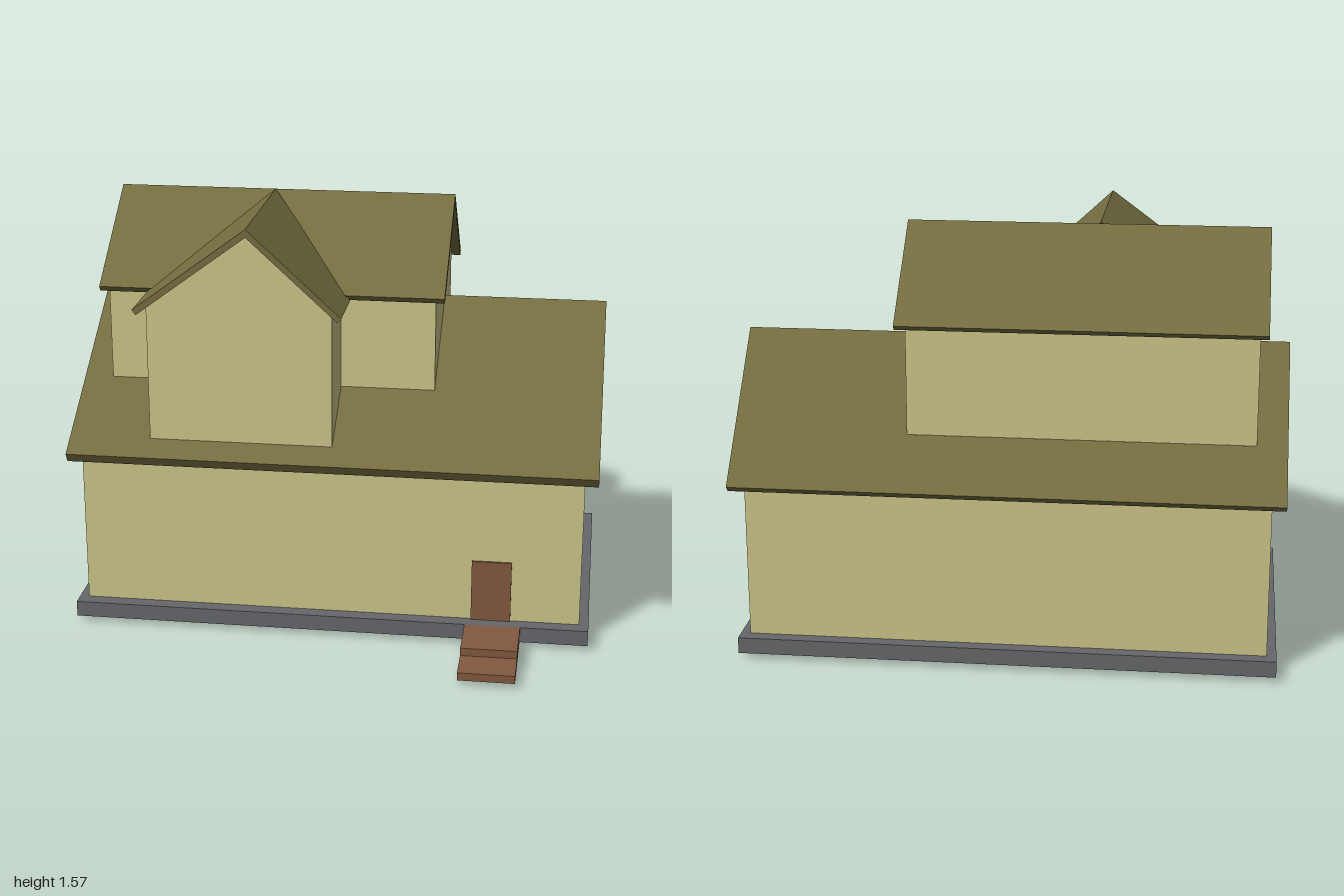
import * as THREE from 'three';

const material = (color) =>
  new THREE.MeshStandardMaterial({ color, flatShading: true, side: THREE.DoubleSide });
const wallMat = material(0xccc589);
const roofMat = material(0x746d40);
const brownMat = material(0x82593f);
const baseMat = material(0x66676a);

function part(parent, name, geometry, mat) {
  const mesh = new THREE.Mesh(geometry, mat);
  mesh.name = name;
  parent.add(mesh);
  return mesh;
}

const shapeOf = (pts) => new THREE.Shape(pts.map(([a, b]) => new THREE.Vector2(a, b)));

// Thin wall panels: [x, y] outline at a given z, or [z, y] outline at a given x
function wallAtZ(parent, name, z, pts) {
  part(parent, name, new THREE.ShapeGeometry(shapeOf(pts)).translate(0, 0, z), wallMat);
}
function wallAtX(parent, name, x, pts) {
  const geometry = new THREE.ShapeGeometry(shapeOf(pts)).rotateY(-Math.PI / 2);
  part(parent, name, geometry.translate(x, 0, 0), wallMat);
}
const rect = (a0, a1, y0, y1) => [[a0, y0], [a1, y0], [a1, y1], [a0, y1]];

// Roof slope: plan outline of [distance from ridge, position along ridge],
// tilted down from the ridge, with square-cut eaves
function roofSlope(parent, name, { along, ridge, ridgeY, dir, slope, drop }, plan) {
  const geometry = new THREE.ExtrudeGeometry(shapeOf(plan), { depth: 1, bevelEnabled: false });
  const pos = geometry.attributes.position;
  const angle = Math.atan(slope);
  const order = (along === 'x') === (dir > 0) ? [0, 1, 2] : [0, 2, 1];
  const out = [];
  for (let i = 0; i < pos.count; i += 3) {
    for (const k of order) {
      let s = pos.getX(i + k);
      const a = pos.getY(i + k);
      let y = ridgeY - slope * s;
      if (pos.getZ(i + k) < 0.5) {
        const atRidge = s < 1e-4;
        y -= atRidge ? drop : drop * Math.cos(angle) ** 2;
        s -= atRidge ? 0 : drop * Math.cos(angle) * Math.sin(angle);
      }
      const across = ridge + dir * s;
      out.push(...(along === 'x' ? [a, y, across] : [across, y, a]));
    }
  }
  const slab = new THREE.BufferGeometry();
  slab.setAttribute('position', new THREE.Float32BufferAttribute(out, 3));
  slab.computeVertexNormals();
  part(parent, name, slab, roofMat);
}

// Skirt lofted through rectangles [half width, front z, back z, y]
function skirt(rings) {
  const out = [];
  const loops = rings.map(([w, f, b, y]) => [[w, y, f], [w, y, b], [-w, y, b], [-w, y, f]]);
  for (let i = 0; i < loops.length - 1; i++) {
    for (let j = 0; j < 4; j++) {
      const n = (j + 1) % 4;
      const [a, b, c, d] = [loops[i][j], loops[i + 1][j], loops[i + 1][n], loops[i][n]];
      out.push(...a, ...b, ...c, ...a, ...c, ...d);
    }
  }
  const geometry = new THREE.BufferGeometry();
  geometry.setAttribute('position', new THREE.Float32BufferAttribute(out, 3));
  geometry.computeVertexNormals();
  return geometry;
}

// Box given by its limits, left open underneath
function openBox(x0, x1, y0, y1, z0, z1) {
  const geometry = new THREE.BoxGeometry(x1 - x0, y1 - y0, z1 - z0);
  const index = Array.from(geometry.index.array);
  index.splice(18, 6);
  geometry.setIndex(index);
  return geometry.translate((x0 + x1) / 2, (y0 + y1) / 2, (z0 + z1) / 2);
}

function group(parent, name) {
  const g = new THREE.Group();
  g.name = name;
  parent.add(g);
  return g;
}

export function createModel() {
  const house = new THREE.Group();
  house.name = 'house';

  // Foundation skirt around the open floor
  part(house, 'foundation', skirt([
    [0.95, 0.365, -0.695, 0.08],
    [0.985, 0.42, -0.745, 0.08],
    [0.985, 0.42, -0.745, 0.02],
    [0.95, 0.365, -0.695, 0],
  ]), baseMat);

  // Ground floor walls
  const ground = group(house, 'groundFloor');
  wallAtZ(ground, 'frontWall', 0.365, rect(-0.95, 0.95, 0, 0.674));
  wallAtZ(ground, 'backWall', -0.695, rect(-0.95, 0.95, 0, 0.692));
  for (const [name, x] of [['leftGable', 0.95], ['rightGable', -0.95]]) {
    wallAtX(ground, name, x,
      [[0.365, 0], [0.365, 0.674], [-0.325, 1.105], [-0.695, 0.692], [-0.695, 0]]);
  }

  // Main roof, cut away where the upper floor and front dormer rise through it
  const main = { along: 'x', ridge: -0.325, ridgeY: 1.155, drop: 0.05 };
  const mainRoof = group(house, 'mainRoof');
  roofSlope(mainRoof, 'frontSlope', { ...main, dir: 1, slope: 0.624 }, [
    [0, -1], [0.745, -1], [0.745, 1], [0, 1], [0, 0.365], [0.415, 0.365], [0.415, 0.005],
    [0.665, 0.005], [0.665, -0.69], [0.415, -0.69], [0.415, -0.89], [0, -0.89]]);
  roofSlope(mainRoof, 'backSlope', { ...main, dir: -1, slope: 1.115 }, [
    [0, -1], [0.435, -1], [0.435, 1], [0, 1], [0, 0.365], [0.28, 0.365],
    [0.28, -0.89], [0, -0.89]]);

  // Upper floor walls, standing on the main roof
  const upper = group(house, 'upperFloor');
  wallAtZ(upper, 'frontWallRight', 0.09, rect(-0.89, -0.69, 0.896, 1.267));
  wallAtZ(upper, 'frontWallLeft', 0.09, rect(0.005, 0.365, 0.896, 1.267));
  wallAtZ(upper, 'backWall', -0.605, rect(-0.89, 0.365, 0.843, 1.266));
  for (const [name, x] of [['leftGable', 0.365], ['rightGable', -0.89]]) {
    wallAtX(upper, name, x, [[0.09, 0.896], [0.09, 1.267], [-0.3, 1.54],
      [-0.605, 1.266], [-0.605, 0.843], [-0.325, 1.155]]);
  }

  // Upper roof
  const top = { along: 'x', ridge: -0.3, ridgeY: 1.57, drop: 0.03 };
  const upperRoof = group(house, 'upperRoof');
  roofSlope(upperRoof, 'frontSlope', { ...top, dir: 1, slope: 0.7 }, rect(0, 0.43, -0.92, 0.4));
  roofSlope(upperRoof, 'backSlope', { ...top, dir: -1, slope: 0.9 }, rect(0, 0.35, -0.92, 0.4));

  // Front dormer walls
  const dormer = group(house, 'frontDormer');
  wallAtZ(dormer, 'frontWall', 0.34,
    [[-0.69, 0.74], [0.005, 0.74], [0.005, 1.258], [-0.305, 1.543], [-0.69, 1.258]]);
  for (const [name, x] of [['leftWall', 0.005], ['rightWall', -0.69]]) {
    wallAtX(dormer, name, x, [[0.34, 0.74], [0.34, 1.258], [0.09, 1.258], [0.09, 0.896]]);
  }

  // Dormer roof, its back edges following the valleys of the upper roof
  const gable = { along: 'z', ridge: -0.305, ridgeY: 1.573, drop: 0.03 };
  for (const [name, dir, slope, run] of
    [['dormerRoofLeft', 1, 0.92, 0.35], ['dormerRoofRight', -1, 0.74, 0.43]]) {
    roofSlope(dormer, name, { ...gable, dir, slope },
      [[0, 0.375], [run, 0.375], [run, 0.13], [0, -0.29]]);
  }

  // Door and steps
  part(house, 'door', openBox(0.54, 0.69, 0.08, 0.32, 0.36, 0.373), brownMat);
  part(house, 'upperStep', openBox(0.52, 0.73, 0.02, 0.08, 0.42, 0.62), brownMat);
  part(house, 'lowerStep', openBox(0.52, 0.73, 0.02, 0.05, 0.62, 0.76), brownMat);

  return house;
}
